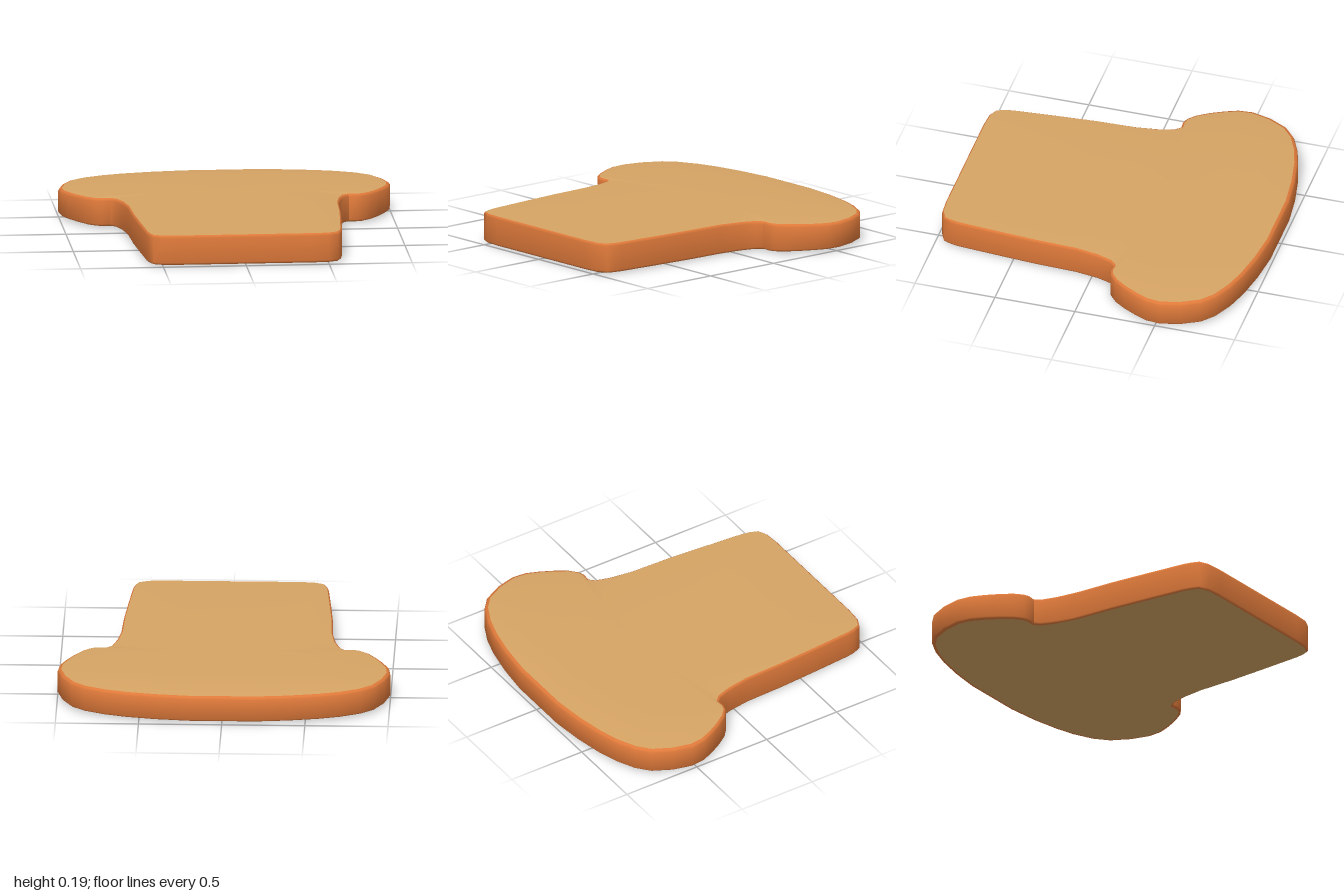
import * as THREE from 'three';
import { toCreasedNormals } from 'three/addons/utils/BufferGeometryUtils.js';

// Right half of the slice outline as [x, z], from the back to the front
const half = [
  [0.2, -0.99], [0.4, -0.968], [0.58, -0.933], [0.71, -0.893], [0.83, -0.835], [0.91, -0.765],
  [0.97, -0.65], [1, -0.53], [0.99, -0.44], [0.955, -0.36], [0.91, -0.28], [0.86, -0.21],
  [0.81, -0.168], [0.77, -0.155], [0.72, -0.16], [0.69, -0.13], [0.66, -0.04], [0.637, 0.1],
  [0.628, 0.35], [0.61, 0.6], [0.59, 0.85], [0.58, 0.9], [0.56, 0.95], [0.5, 0.978], [0.4, 0.985],
];
const outline = [...half, ...half.map(([x, z]) => [-x, z]).reverse()];
const N = outline.length;
const middleZ = -0.3;

// 0 on the wide head, 1 on the narrow body
const bodyBlend = (z) => THREE.MathUtils.smoothstep(z, -0.6, 0.2);

// Outline moved inwards along its normals, for the rounded rim
const inset = (k) => outline.map(([x, z], i) => {
  const a = outline[(i + N - 1) % N], b = outline[(i + 1) % N];
  const dx = b[0] - a[0], dz = b[1] - a[1], len = Math.hypot(dx, dz);
  const width = k * THREE.MathUtils.lerp(0.022, 0.01, bodyBlend(z));
  return [x - (dz / len) * width, z + (dx / len) * width];
});

// Heights of the upper and lower rim, which follow the edge of the slice
const rimTop = (z) => THREE.MathUtils.lerp(0.172, 0.188, bodyBlend(z));
const rimBottom = (z) => THREE.MathUtils.lerp(0.014, 0.008, bodyBlend(z));

const ring = (points, height) => points.map(([x, z]) => [x, height(z), z]);

// Crumb ring: the inset outline shrunk to the middle, swelling to a given height
function crumbRing(scale, rim, centreY) {
  return inset(1).map(([x, z]) => [
    x * scale,
    THREE.MathUtils.lerp(centreY, rim(z), scale ** 4),
    middleZ + (z - middleZ) * scale,
  ]);
}

// Skin over closed rings, ordered so that the faces look outwards
function loft(rings) {
  const index = [];
  for (let r = 0; r < rings.length - 1; r++) {
    for (let i = 0; i < N; i++) {
      const j = (i + 1) % N;
      const a = r * N + i, b = r * N + j, c = b + N, d = a + N;
      index.push(a, d, b, b, d, c);
    }
  }
  const geometry = new THREE.BufferGeometry();
  geometry.setAttribute('position', new THREE.Float32BufferAttribute(rings.flat(2), 3));
  geometry.setIndex(index);
  geometry.computeVertexNormals();
  return geometry;
}

export function createModel() {
  const crustColour = new THREE.MeshStandardMaterial({ color: 0xde793a });
  crustColour.name = 'crust orange';
  const crumbColour = new THREE.MeshStandardMaterial({ color: 0xd6a464 });
  crumbColour.name = 'crumb tan';

  const model = new THREE.Group();
  model.name = 'breadSlice';
  const add = (name, geometry, material) => {
    const mesh = new THREE.Mesh(geometry, material);
    mesh.name = name;
    model.add(mesh);
  };

  // Crust band with rounded rims
  const crust = loft([
    ring(inset(1), rimBottom),
    ring(inset(0.3), (z) => rimBottom(z) + 0.004),
    ring(outline, (z) => rimBottom(z) + 0.013),
    ring(outline, (z) => rimTop(z) - 0.016),
    ring(inset(0.3), (z) => rimTop(z) - 0.005),
    ring(inset(1), rimTop),
  ]);
  add('crust', toCreasedNormals(crust, 0.8), crustColour);

  // Slightly swollen crumb faces
  const scales = [1, 0.97, 0.92, 0.84, 0.7, 0.45, 0.001];
  add('upperCrumb', loft(scales.map((s) => crumbRing(s, rimTop, 0.195))), crumbColour);
  add('lowerCrumb', loft([...scales].reverse().map((s) => crumbRing(s, rimBottom, 0))), crumbColour);

  return model;
}
